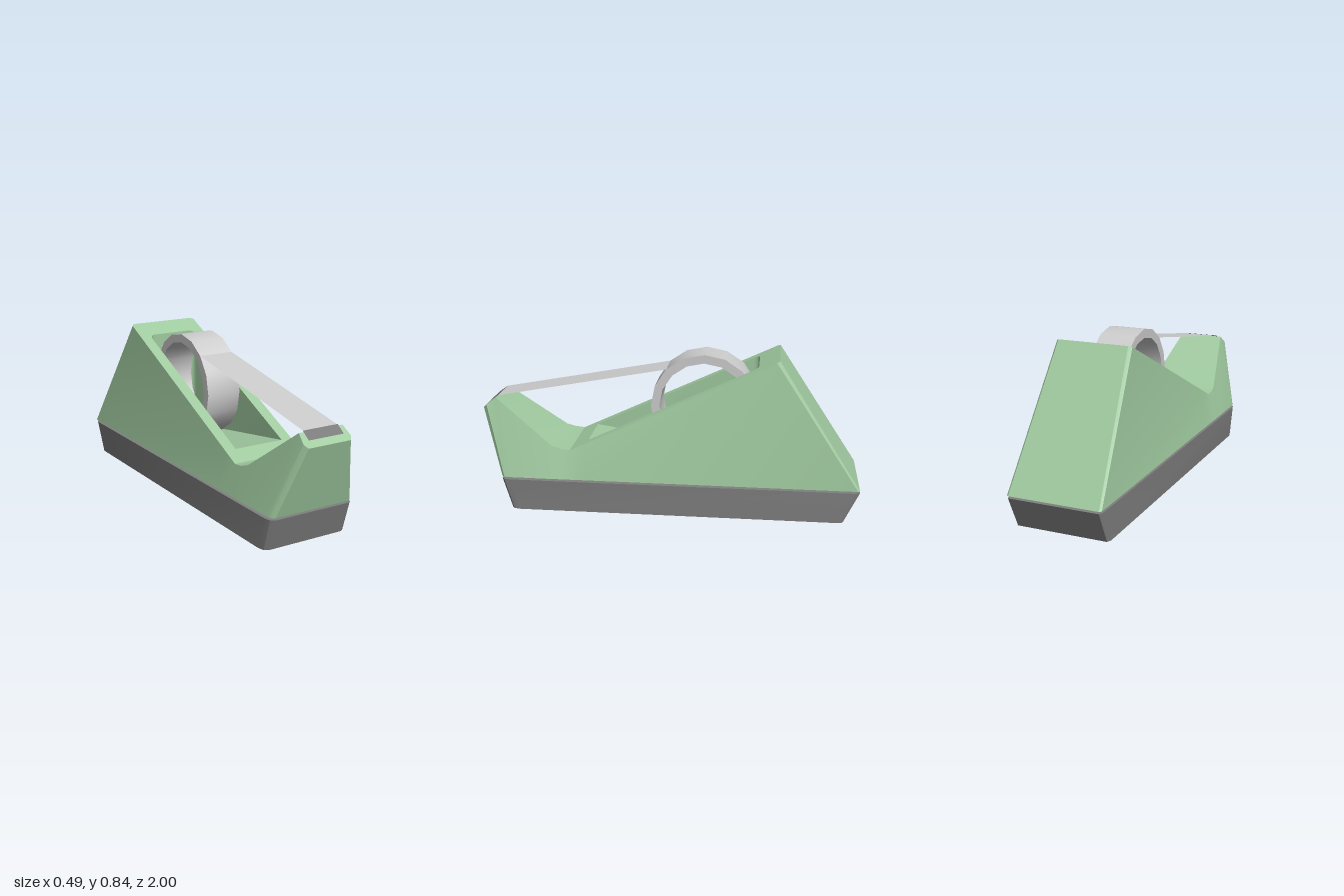
import * as THREE from 'three';
import { mergeGeometries, toCreasedNormals } from 'three/addons/utils/BufferGeometryUtils.js';

const material = (color) => new THREE.MeshStandardMaterial({ color, side: THREE.DoubleSide });
const mirror = ([x, y, z]) => [-x, y, z];

// Collects quads into one flat-faced geometry
function quadBuilder() {
  const pos = [];
  return {
    quad(a, b, c, d) { pos.push(...a, ...b, ...c, ...a, ...c, ...d); },
    build() {
      const g = new THREE.BufferGeometry();
      g.setAttribute('position', new THREE.Float32BufferAttribute(pos, 3));
      return g;
    },
  };
}

// Lays a shape drawn in (x, -z) onto the height rule y = height(z)
function layShape(shape, height) {
  const g = new THREE.ShapeGeometry(shape, 5).rotateX(-Math.PI / 2).toNonIndexed();
  const p = g.attributes.position;
  for (let i = 0; i < p.count; i++) p.setY(i, height(p.getZ(i)));
  g.deleteAttribute('uv');
  g.deleteAttribute('normal');
  return g;
}

const finish = (parts) => toCreasedNormals(mergeGeometries(parts), 0.5);

const BOTTOM = 0.178, POCKET_FRONT = 0.433, POCKET_BACK = -0.463;
const slope = (z) => 0.33 + (0.52 - z) * 0.468;
const pocketFloor = (z) => slope(POCKET_FRONT) - (POCKET_FRONT - z) * 0.158;

function bodyGeometry() {
  // Stations front to back: rim x, y, z, then bottom x, z
  const stations = [
    [0.12, 0.53, 1, 0.215, 0.89],
    [0.135, 0.545, 0.98, 0.232, 0.875],
    [0.125, 0.585, 0.93, 0.238, 0.85],
    [0.195, 0.35, 0.62, 0.24, 0.62],
    [0.2, 0.335, 0.57, 0.24, 0.57],
    [0.2, 0.33, 0.52, 0.24, 0.52],
    [0.2, slope(POCKET_FRONT), POCKET_FRONT, 0.24, POCKET_FRONT],
    [0.2, slope(-0.555), -0.555, 0.245, -0.99],
    [0.185, slope(-0.57), -0.57, 0.235, -1],
  ];
  const rim = stations.map(([x, y, z]) => [x, y, z]);
  const foot = stations.map((s) => [s[3], BOTTOM, s[4]]);
  const b = quadBuilder();
  const last = stations.length - 1;

  // Front and back faces
  b.quad(mirror(foot[0]), foot[0], rim[0], mirror(rim[0]));
  b.quad(foot[last], mirror(foot[last]), mirror(rim[last]), rim[last]);

  for (let i = 0; i < last; i++) {
    const j = i + 1;
    // Sides, underside and the solid front part of the top
    b.quad(foot[i], foot[j], rim[j], rim[i]);
    b.quad(mirror(rim[i]), mirror(rim[j]), mirror(foot[j]), mirror(foot[i]));
    b.quad(mirror(foot[i]), mirror(foot[j]), foot[j], foot[i]);
    if (i < 6) b.quad(rim[i], rim[j], mirror(rim[j]), mirror(rim[i]));
  }

  // Pocket outline with rounded rear corners
  const w = 0.14, r = 0.035, front = -POCKET_FRONT, back = -POCKET_BACK;
  const pocket = new THREE.Shape();
  pocket.moveTo(-w, front + 0.001);
  pocket.lineTo(w, front + 0.001);
  pocket.lineTo(w, back - r);
  pocket.quadraticCurveTo(w, back, w - r, back);
  pocket.lineTo(-w + r, back);
  pocket.quadraticCurveTo(-w, back, -w, back - r);
  pocket.closePath();

  // Sloping top around the pocket
  const top = new THREE.Shape([...rim.slice(6), ...rim.slice(6).reverse().map(mirror)]
    .map(([x, , z]) => new THREE.Vector2(x, -z)));
  top.holes.push(pocket);

  // Pocket walls
  const outline = pocket.getPoints(5);
  outline.forEach((p, i) => {
    const q = outline[(i + 1) % outline.length];
    const at = (v, height) => [v.x, height(-v.y), -v.y];
    b.quad(at(p, slope), at(q, slope), at(q, pocketFloor), at(p, pocketFloor));
  });

  return finish([b.build(), layShape(top, slope), layShape(pocket, pocketFloor)]);
}

function baseGeometry() {
  // Plan outline, tapering in length towards the open bottom
  const half = [[0.215, 0.89], [0.235, 0.875], [0.243, 0.84], [0.245, -0.975], [0.235, -1]];
  const loop = [...half, ...half.map(([x, z]) => [-x, z]).reverse()];
  const height = 0.167;
  const upper = ([x, z]) => [x, height, z];
  const lower = ([x, z]) => [x, 0, -0.92 + (z + 1) * (1.76 / 1.89)];
  const b = quadBuilder();
  loop.forEach((p, i) => {
    const q = loop[(i + 1) % loop.length];
    b.quad(lower(p), lower(q), upper(q), upper(p));
  });
  const lid = new THREE.Shape(loop.map(([x, z]) => new THREE.Vector2(x, -z)));
  return finish([b.build(), layShape(lid, () => height)]);
}

// Thin sheet of half width w between two (y, z) lines
function sheet(w, [y0, z0], [y1, z1]) {
  const b = quadBuilder();
  b.quad([-w, y0, z0], [w, y0, z0], [w, y1, z1], [-w, y1, z1]);
  const g = b.build();
  g.computeVertexNormals();
  return g;
}

export function createModel() {
  const group = new THREE.Group();
  const add = (name, geometry, color) => {
    const mesh = new THREE.Mesh(geometry, material(color));
    mesh.name = name;
    group.add(mesh);
    return mesh;
  };

  add('body', bodyGeometry(), 0x9fc99f);
  add('base', baseGeometry(), 0x808080);

  // Sixteen-sided tape ring lying across the pocket
  const profile = [[0.28, -0.097], [0.28, 0.097], [0.235, 0.097], [0.235, -0.097], [0.28, -0.097]]
    .map(([x, y]) => new THREE.Vector2(x, y));
  const ring = toCreasedNormals(new THREE.LatheGeometry(profile, 16), 0.6);
  const roll = add('tapeRoll', ring.rotateZ(Math.PI / 2), 0xcccccc);
  roll.position.set(0, 0.56, -0.18);

  // Tape pulled forward to the cutter
  add('tapeStrip', sheet(0.097, [0.59, 0.925], [0.758, 0.018]), 0xcccccc);
  add('cutter', sheet(0.1, [0.557, 0.972], [0.591, 0.925]), 0x777777);

  return group;
}
